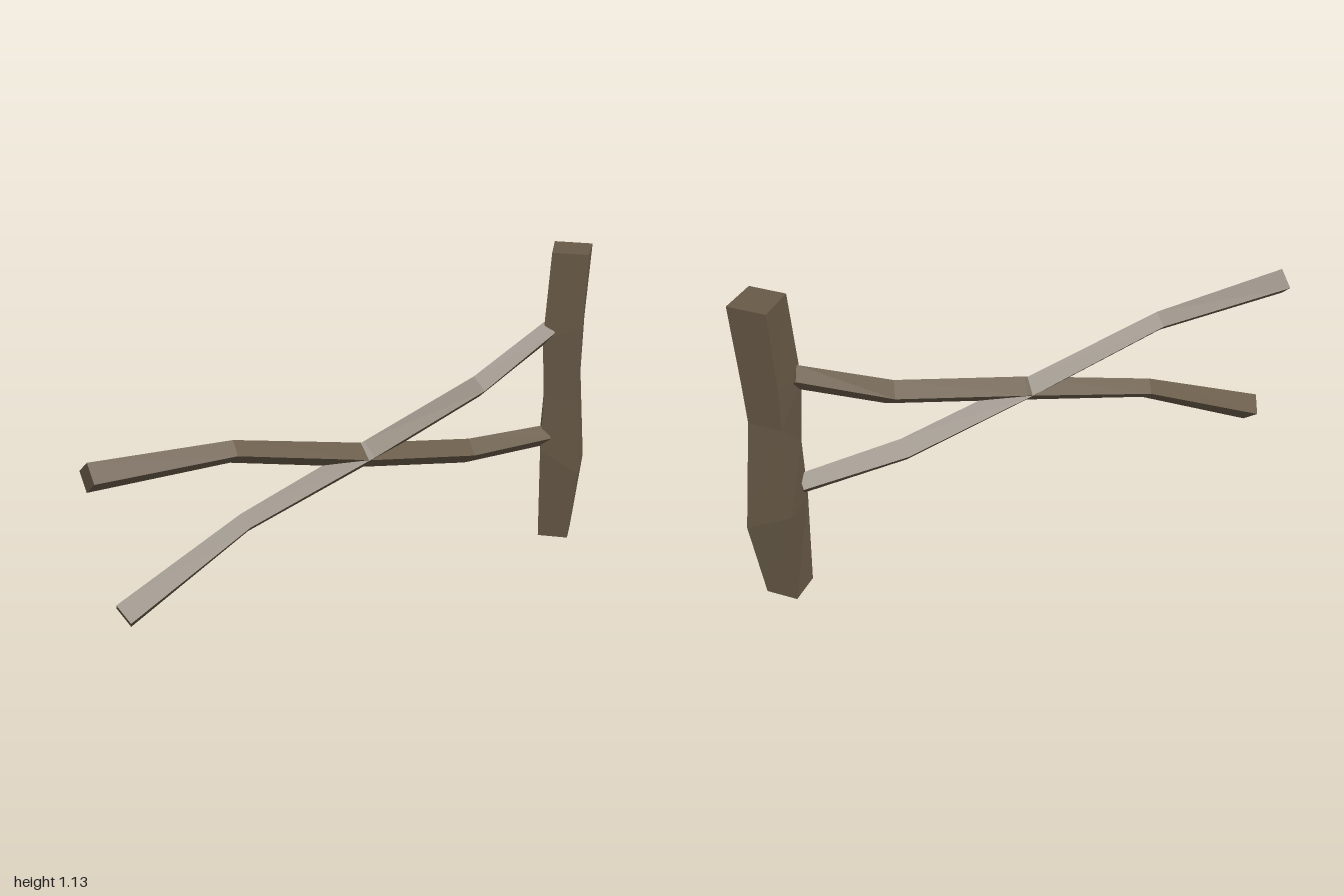
import * as THREE from 'three';

// Faceted solid through four-cornered rings, closed at both ends
function loft(rings) {
  const pos = [];
  const quad = (a, b, c, d) => pos.push(...a, ...b, ...c, ...a, ...c, ...d);
  for (let i = 0; i < rings.length - 1; i++) {
    const r = rings[i], s = rings[i + 1];
    for (let j = 0; j < 4; j++) {
      const k = (j + 1) % 4;
      quad(r[j], r[k], s[k], s[j]);
    }
  }
  const first = rings[0], last = rings[rings.length - 1];
  quad(first[3], first[2], first[1], first[0]);
  quad(last[0], last[1], last[2], last[3]);
  const geo = new THREE.BufferGeometry();
  geo.setAttribute('position', new THREE.Float32BufferAttribute(pos, 3));
  geo.computeVertexNormals();
  return geo;
}

// Diamond-section rail; stations are [x, y, z, half height, half depth]
function railGeometry(stations) {
  const n = stations.length;
  return loft(stations.map(([x, y, z, h, d], i) => {
    const a = stations[Math.max(i - 1, 0)], b = stations[Math.min(i + 1, n - 1)];
    const up = new THREE.Vector2(a[1] - b[1], b[0] - a[0]).normalize().multiplyScalar(h);
    return [
      [x + up.x, y + up.y, z],
      [x, y, z + d],
      [x - up.x, y - up.y, z],
      [x, y, z - d],
    ];
  }));
}

export function createModel() {
  const group = new THREE.Group();
  const wood = new THREE.MeshStandardMaterial({ color: 0x685a47, flatShading: true });
  wood.name = 'weathered wood';
  const add = (name, geo) => {
    const mesh = new THREE.Mesh(geo, wood);
    mesh.name = name;
    group.add(mesh);
  };

  // Rough hewn post, corners ordered front, left, back, right (+x second)
  add('post', loft([
    [[0.88, 0, 0.077], [0.96, 0, 0], [0.88, 0, -0.08], [0.80, 0, 0]],
    [[0.88, 0.29, 0.11], [1.0, 0.29, 0], [0.875, 0.37, -0.11], [0.787, 0.36, 0]],
    [[0.88, 0.57, 0.087], [0.953, 0.70, 0], [0.87, 0.70, -0.086], [0.79, 0.58, 0]],
    [[0.872, 0.86, 0.089], [0.96, 0.86, 0], [0.87, 0.87, -0.093], [0.77, 0.81, 0]],
    [[0.88, 1.13, 0.09], [0.975, 1.13, 0], [0.88, 1.13, -0.094], [0.79, 1.13, 0]],
  ]));

  // Two bent rails crossing at the middle
  add('fallingRail', railGeometry([
    [-0.993, 0.75, 0, 0.05, 0.055],
    [-0.5, 0.707, 0.002, 0.039, 0.042],
    [0.0, 0.56, 0.004, 0.044, 0.049],
    [0.45, 0.45, -0.008, 0.046, 0.048],
    [0.81, 0.418, -0.007, 0.041, 0.037],
  ]));
  add('risingRail', railGeometry([
    [-0.911, 0.23, 0, 0.053, 0.054],
    [-0.465, 0.437, 0.002, 0.038, 0.042],
    [0.015, 0.567, 0.005, 0.046, 0.05],
    [0.485, 0.692, -0.008, 0.044, 0.048],
    [0.80, 0.838, -0.007, 0.041, 0.037],
  ]));
  return group;
}
